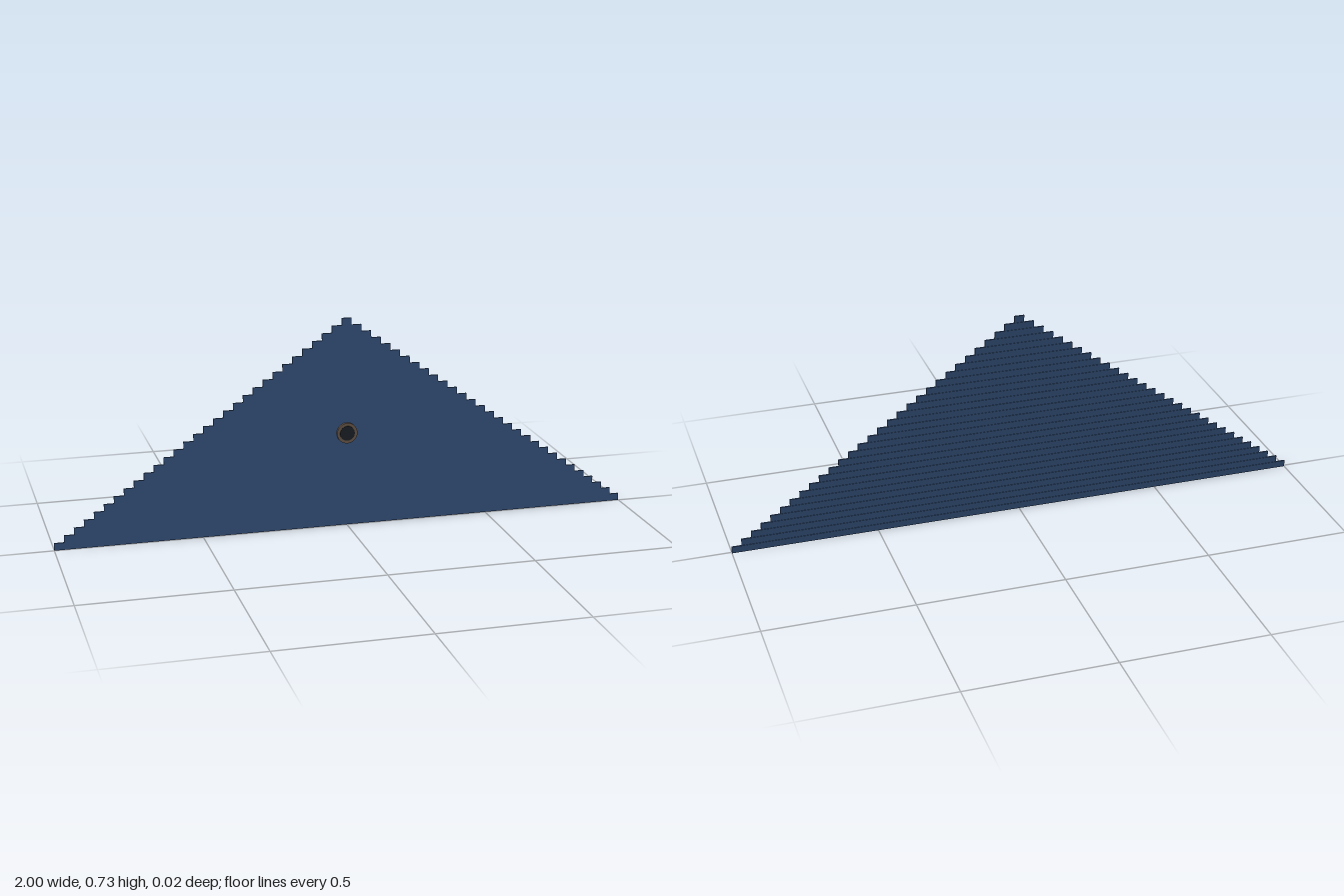
import * as THREE from 'three';

export function createModel() {
  const model = new THREE.Group();
  model.name = 'gableWall';

  const blue = new THREE.MeshStandardMaterial({ color: 0x34507a });
  const bronze = new THREE.MeshStandardMaterial({ color: 0x6b5a4c });
  const dark = new THREE.MeshStandardMaterial({ color: 0x1c2129 });

  // Lapped siding boards: each is one step shorter and leans back at its top
  const rows = 30;
  const height = 0.726;
  const pitch = height / rows;
  const step = 1 / (rows - 0.5);
  const thickness = 0.0055;
  const lean = 0.0018;
  const siding = new THREE.Group();
  siding.name = 'siding';
  for (let i = 0; i < rows; i++) {
    const geometry = new THREE.BoxGeometry(2 * (1 - i * step), pitch, thickness);
    const p = geometry.attributes.position;
    for (let k = 0; k < p.count; k++) {
      p.setZ(k, p.getZ(k) - Math.sign(p.getY(k)) * lean / 2);
    }
    geometry.computeVertexNormals();
    const board = new THREE.Mesh(geometry, blue);
    board.name = 'sidingBoard' + (i + 1);
    board.position.set(0, (i + 0.5) * pitch, -0.0048);
    siding.add(board);
  }
  model.add(siding);

  // Small round vent: a bronze rim around a dark raised centre
  const vent = new THREE.Group();
  vent.name = 'roundVent';
  const addDisc = (name, radius, back, front, material) => {
    const geometry = new THREE.CylinderGeometry(radius, radius, front - back, 32);
    geometry.rotateX(Math.PI / 2);
    const disc = new THREE.Mesh(geometry, material);
    disc.name = name;
    disc.position.z = (back + front) / 2;
    vent.add(disc);
  };
  addDisc('ventRim', 0.0355, -0.004, 0.0065, bronze);
  addDisc('ventCentre', 0.0255, 0, 0.0085, dark);
  vent.position.y = 0.328;
  model.add(vent);

  return model;
}
